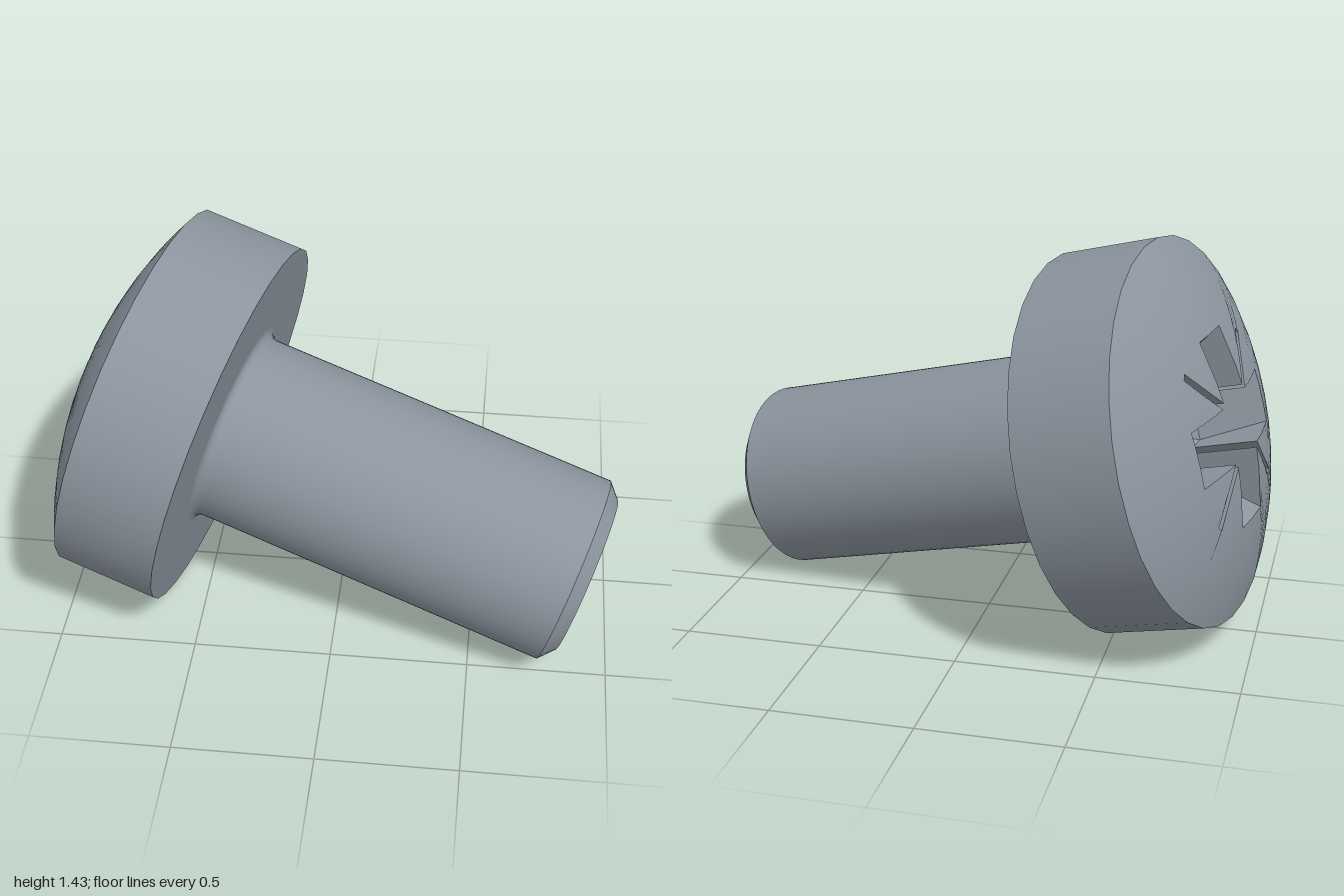
import * as THREE from 'three';

const HEAD_R = 0.69, RIM_Y = 0.37, APEX_Y = 0.545, SIDES = 32;
const SHAFT_R = 0.345, TIP_Y = -1.39;
const DOME_R = (HEAD_R ** 2 + (APEX_Y - RIM_Y) ** 2) / (2 * (APEX_Y - RIM_Y));

// Driver recess: wide arms and thin diagonal slots (length at the top, at the floor, half width)
const ARM = { top: 0.34, floor: 0.2, w: 0.1 };
const SLOT = { top: 0.385, floor: 0.24, w: 0.012 };
const FLOOR_Y = 0.29, PIT_Y = 0.22;

const domeY = r => APEX_Y - DOME_R + Math.sqrt(DOME_R ** 2 - r * r);

// Distance from the axis to the end of a bar lying along angle 'dir'
const reach = (bar, a, dir) => {
  const c = Math.cos(a - dir), s = Math.abs(Math.sin(a - dir));
  return c <= 0 ? 0 : Math.min(bar.top / c, bar.w / Math.max(s, 1e-6));
};

// Recess outline at an angle: point on the dome and the matching floor point
function recessAt(a) {
  let best = { r: 0 };
  for (let i = 0; i < 8; i++) {
    const bar = i % 2 ? SLOT : ARM, dir = i * Math.PI / 4;
    const r = reach(bar, a, dir);
    if (r > best.r + 1e-9) best = { r, bar, dir };
  }
  const { r, bar, dir } = best;
  const along = Math.min(r * Math.cos(a - dir), bar.floor), across = r * Math.sin(a - dir);
  const c = Math.cos(dir), s = Math.sin(dir);
  return {
    r,
    floor: new THREE.Vector3(along * c - across * s, FLOOR_Y, along * s + across * c),
  };
}

// Every angle where the recess or the rim has a corner
function cornerAngles() {
  const list = [];
  const corners = [
    Math.atan2(ARM.w, ARM.top),
    Math.atan2(ARM.w, ARM.w + Math.SQRT2 * SLOT.w),
    Math.PI / 4 - Math.atan2(SLOT.w, SLOT.top),
  ];
  for (let q = 0; q < 4; q++) {
    for (const c of corners) list.push(q * Math.PI / 2 + c, (q + 1) * Math.PI / 2 - c);
  }
  for (let k = 0; k < SIDES; k++) list.push((k + 0.5) * 2 * Math.PI / SIDES);
  return list.sort((a, b) => a - b);
}

// Closed rings of points, innermost first, joined into one sheet
function sheet(rings) {
  const n = rings[0].length, index = [];
  for (let j = 0; j < rings.length - 1; j++) {
    for (let i = 0; i < n; i++) {
      const k = (i + 1) % n, i0 = j * n + i, i1 = j * n + k;
      index.push(i0, i1, i1 + n, i0, i1 + n, i0 + n);
    }
  }
  const geo = new THREE.BufferGeometry().setFromPoints(rings.flat());
  geo.setIndex(index);
  return geo;
}

const polar = (r, a, y) => new THREE.Vector3(r * Math.cos(a), y, r * Math.sin(a));

export function createModel() {
  const steel = new THREE.MeshStandardMaterial({ color: 0x8c959f });
  steel.name = 'steel grey';

  const model = new THREE.Group();
  model.name = 'screw';
  // Tilted pose; inside it the screw stands on its y axis, head up
  model.position.set(-0.408, 0.676, 0.034);
  model.rotation.set(0, THREE.MathUtils.degToRad(-12), THREE.MathUtils.degToRad(-15), 'ZYX');
  const screw = new THREE.Group();
  screw.name = 'screwBody';
  screw.rotation.z = Math.PI / 2;
  model.add(screw);

  const add = (name, geo) => {
    const mesh = new THREE.Mesh(geo, steel);
    mesh.name = name;
    screw.add(mesh);
  };
  const turned = (name, pts, sides) => add(name, new THREE.LatheGeometry(
    pts.map(p => new THREE.Vector2(...p)), sides, Math.PI / sides));

  // Shaft with chamfered tip and a small fillet under the head
  const chamferY = TIP_Y + 0.05, fillet = 0.035;
  turned('shaftTip', [[0, TIP_Y], [0.29, TIP_Y]], 64);
  turned('tipChamfer', [[0.29, TIP_Y], [SHAFT_R, chamferY]], 64);
  turned('shaft', [[SHAFT_R, chamferY], [SHAFT_R, -fillet]], 64);
  const arc = [];
  for (let i = 0; i <= 6; i++) {
    const t = i / 6 * Math.PI / 2;
    arc.push([SHAFT_R + fillet * (1 - Math.cos(t)), -fillet * (1 - Math.sin(t))]);
  }
  turned('shaftFillet', arc, 64);

  // Head underside and rim
  turned('headUnderside', [[SHAFT_R, 0], [HEAD_R, 0]], SIDES);
  turned('headRim', [[HEAD_R, 0], [HEAD_R, RIM_Y]], SIDES);

  // Domed top, running from the recess outline out to the faceted rim
  const angles = cornerAngles();
  const cuts = angles.map(recessAt);
  const step = 2 * Math.PI / SIDES;
  const rimR = a => {
    const off = a / step - Math.floor(a / step + 0.5);
    return HEAD_R * Math.cos(step / 2) / Math.cos(off * step);
  };
  const RINGS = 8, domeRings = [];
  for (let j = 0; j <= RINGS; j++) {
    domeRings.push(angles.map((a, i) => {
      const r = THREE.MathUtils.lerp(cuts[i].r, rimR(a), j / RINGS);
      return polar(r, a, j === RINGS ? RIM_Y : domeY(r));
    }));
  }
  const dome = sheet(domeRings);
  const centre = new THREE.Vector3(0, APEX_Y - DOME_R, 0);
  const normals = domeRings.flat().flatMap(p => p.clone().sub(centre).normalize().toArray());
  dome.setAttribute('normal', new THREE.Float32BufferAttribute(normals, 3));
  add('headDome', dome);

  // Recess walls and shallow conical floor, flat faced
  const recess = sheet([
    angles.map(() => new THREE.Vector3(0, PIT_Y, 0)),
    cuts.map(c => c.floor),
    domeRings[0],
  ]).toNonIndexed();
  recess.computeVertexNormals();
  add('driverRecess', recess);

  return model;
}
